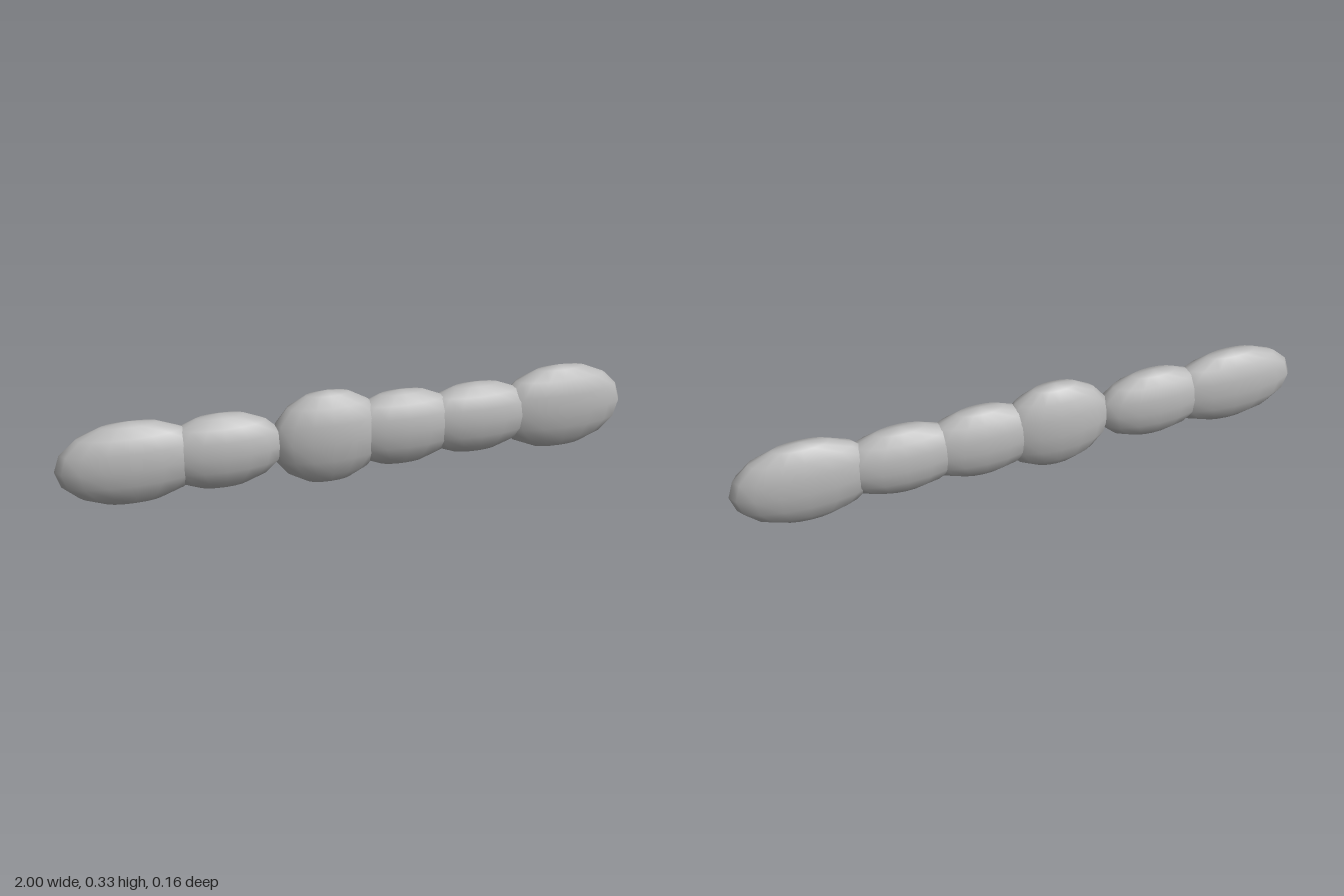
import * as THREE from 'three';

// Segments from right to left: [name, centre x, radius x, radius y, radius z]
const SEGMENTS = [
  ['rightEndSegment', -0.757, 0.243, 0.14, 0.078],
  ['rightInnerSegment', -0.463, 0.212, 0.129, 0.078],
  ['tallMiddleSegment', -0.1, 0.2, 0.164, 0.081],
  ['middleSegment', 0.163, 0.215, 0.134, 0.078],
  ['leftInnerSegment', 0.435, 0.222, 0.127, 0.078],
  ['leftEndSegment', 0.757, 0.243, 0.153, 0.077],
];
const CENTRE_Y = 0.167;

export function createModel() {
  const group = new THREE.Group();
  group.name = 'segmentedBar';
  const grey = new THREE.MeshStandardMaterial({ color: 0xb8b8b8 });
  grey.name = 'grey';

  // Overlapping flattened ellipsoids in a row
  for (const [name, x, rx, ry, rz] of SEGMENTS) {
    const geometry = new THREE.SphereGeometry(1, 16, 8);
    geometry.scale(rx, ry, rz);
    const segment = new THREE.Mesh(geometry, grey);
    segment.name = name;
    segment.position.set(x, CENTRE_Y, 0);
    group.add(segment);
  }
  return group;
}
